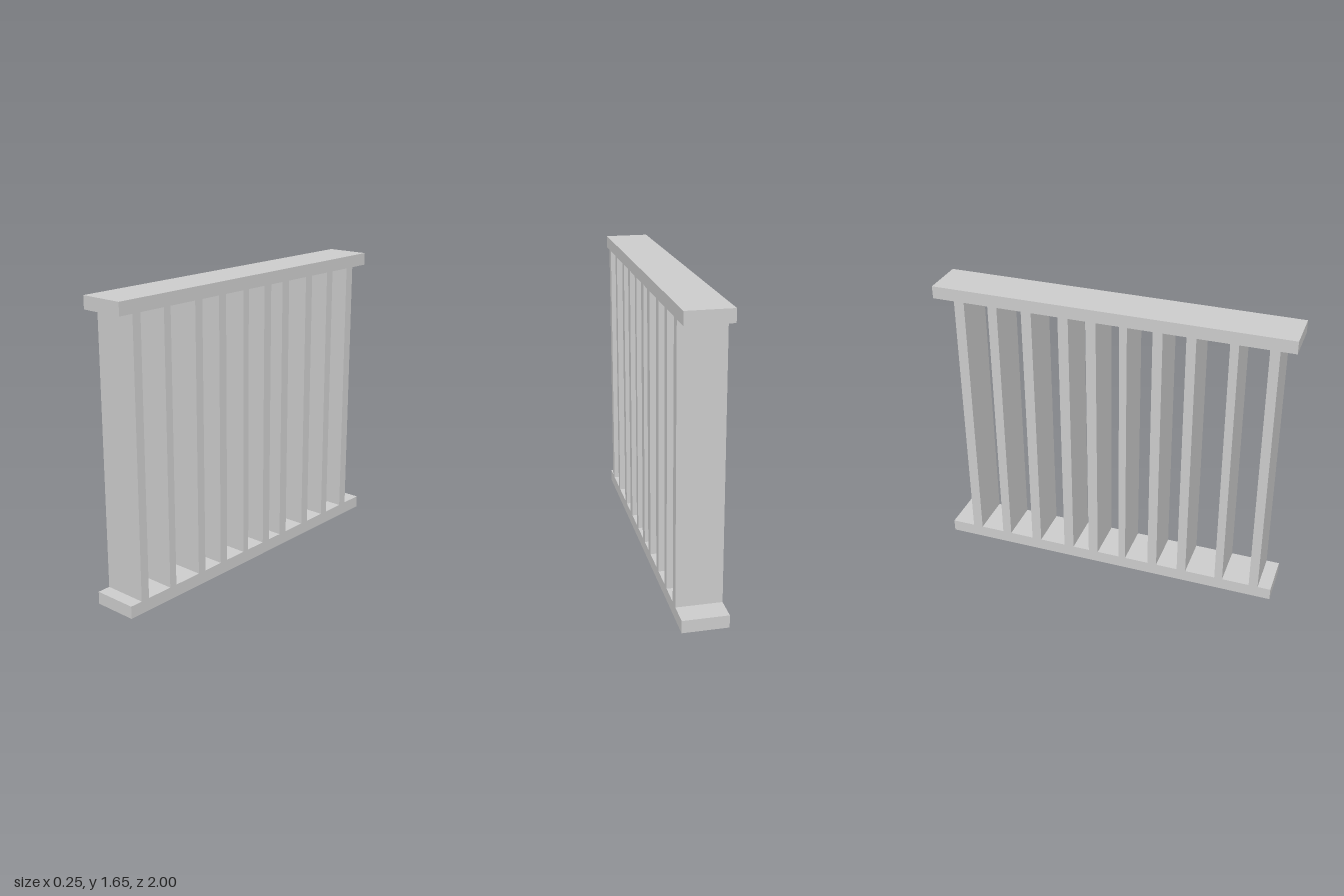
import * as THREE from 'three';

const DEPTH = 0.25;      // shared width of rails and slats along x
const RAIL = 0.07;       // rail thickness
const HEIGHT = 1.65;

export function createModel() {
  const group = new THREE.Group();
  group.name = 'slattedRailing';
  const material = new THREE.MeshStandardMaterial({ color: 0xcccccc, flatShading: true });

  // Box spanning y0..y1 and z0..z1, full width in x
  const addBoard = (name, y0, y1, z0, z1) => {
    const mesh = new THREE.Mesh(new THREE.BoxGeometry(DEPTH, y1 - y0, z1 - z0), material);
    mesh.position.set(0, (y0 + y1) / 2, (z0 + z1) / 2);
    mesh.name = name;
    group.add(mesh);
  };

  // Rails, slightly offset from one another along z
  addBoard('bottomRail', 0, RAIL, -1, 0.99);
  addBoard('topRail', HEIGHT - RAIL, HEIGHT, -0.99, 1);

  // Unevenly spaced upright slats: [centre z, thickness]
  const slats = [
    [0.89, 0.052], [0.685, 0.046], [0.462, 0.052], [0.284, 0.054], [0.098, 0.042],
    [-0.081, 0.057], [-0.236, 0.058], [-0.445, 0.057], [-0.641, 0.053], [-0.836, 0.058],
  ];
  slats.forEach(([z, t], i) =>
    addBoard(`slat${i + 1}`, RAIL, HEIGHT - RAIL, z - t / 2, z + t / 2));

  return group;
}
